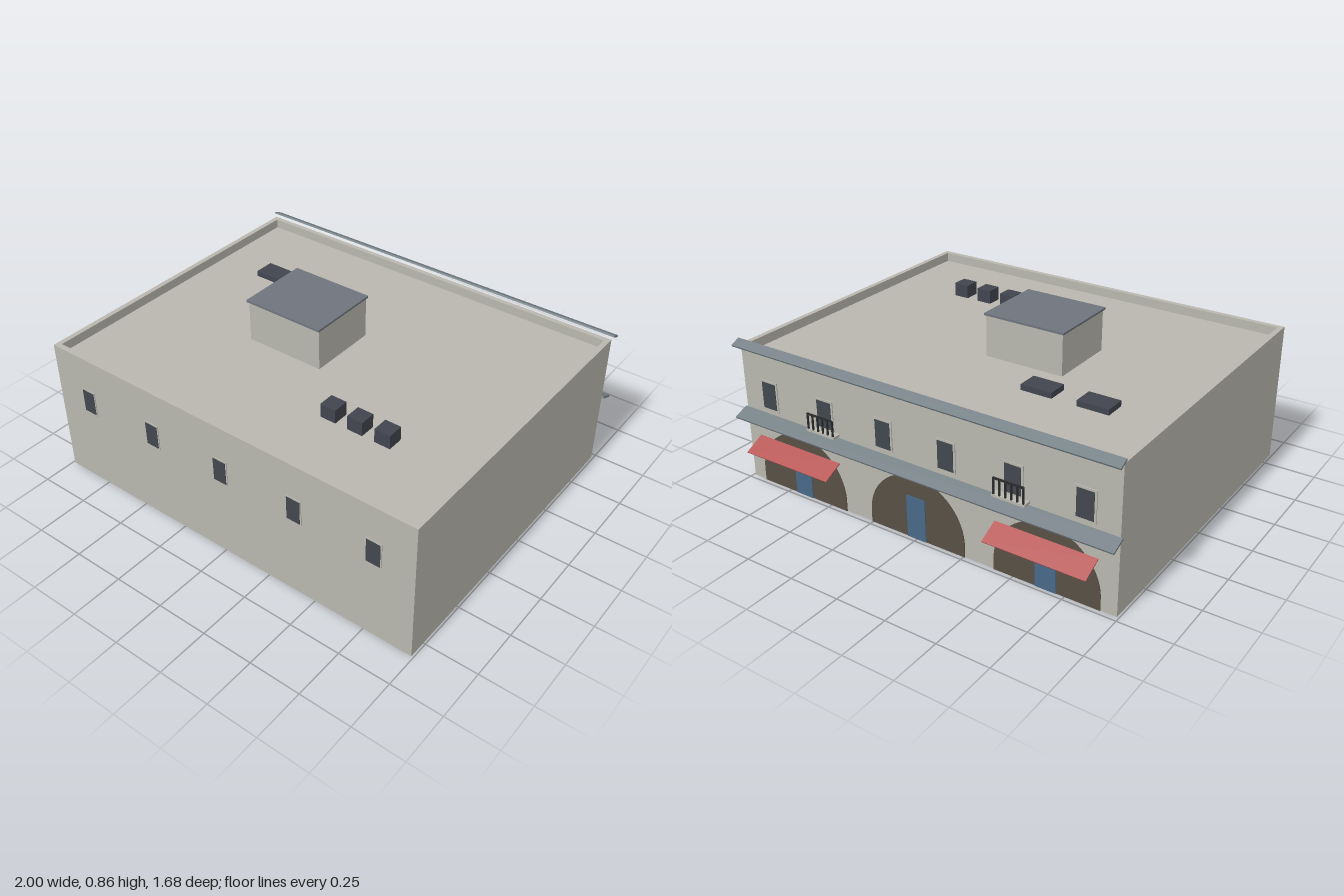
import * as THREE from 'three';

const mat = (name, color) => {
  const m = new THREE.MeshStandardMaterial({ color });
  m.name = name;
  return m;
};

export function createModel() {
  const model = new THREE.Group();
  model.name = 'building';
  const wall = mat('wall stone', 0xb8b6ae);
  const slate = mat('slate', 0x6f747d);
  const tile = mat('cornice tile', 0x747f85);
  const glass = mat('dark glass', 0x42474e);
  const metal = mat('roof unit metal', 0x41454e);
  const brown = mat('arch brown', 0x584f45);
  const blue = mat('door blue', 0x486888);
  const red = mat('awning red', 0xb55252);
  const iron = mat('railing iron', 0x2a2b2d);

  const BACK = -0.725, FRONT = 0.835, ROOF = 0.645, TOP = 0.69;

  // box given by its limits on each axis
  const box = (name, m, x0, x1, y0, y1, z0, z1, parent = model) => {
    const mesh = new THREE.Mesh(new THREE.BoxGeometry(x1 - x0, y1 - y0, z1 - z0), m);
    mesh.position.set((x0 + x1) / 2, (y0 + y1) / 2, (z0 + z1) / 2);
    mesh.name = name;
    parent.add(mesh);
    return mesh;
  };

  // sloping board running from (y0, z0) at the wall to (y1, z1) at its outer edge
  const board = (name, m, x0, x1, y0, z0, y1, z1, t) => {
    const len = Math.hypot(y0 - y1, z0 - z1);
    const mesh = new THREE.Mesh(new THREE.BoxGeometry(x1 - x0, t, len), m);
    mesh.position.set((x0 + x1) / 2, (y0 + y1) / 2, (z0 + z1) / 2);
    mesh.rotation.x = -Math.atan2(y0 - y1, z0 - z1);
    mesh.name = name;
    model.add(mesh);
  };

  // main block and parapet ring
  box('body', wall, -0.99, 0.99, 0, ROOF, BACK, FRONT);
  const rect = (s, x, z0, z1) =>
    s.moveTo(-x, -z1).lineTo(x, -z1).lineTo(x, -z0).lineTo(-x, -z0).closePath();
  const ring = new THREE.Shape();
  rect(ring, 0.99, BACK, FRONT);
  const hole = new THREE.Path();
  rect(hole, 0.965, -0.7, 0.808);
  ring.holes.push(hole);
  const parapet = new THREE.Mesh(
    new THREE.ExtrudeGeometry(ring, { depth: TOP - ROOF, bevelEnabled: false }), wall);
  parapet.rotation.x = -Math.PI / 2;
  parapet.position.y = ROOF;
  parapet.name = 'parapet';
  model.add(parapet);

  // roof house, air units and skylights
  box('roofHouse', wall, -0.36, 0.04, ROOF, 0.845, -0.135, 0.21);
  box('roofHouseLid', slate, -0.37, 0.045, 0.845, 0.855, -0.145, 0.217);
  for (const x of [0.295, 0.433, 0.572])
    box('airUnit', metal, x - 0.039, x + 0.039, ROOF, 0.712, 0.4, 0.477);
  for (const x of [-0.635, -0.36])
    box('skylight', metal, x - 0.077, x + 0.077, ROOF, 0.672, -0.345, -0.243);

  // front windows
  for (let i = -2; i <= 2; i++) {
    const x = i * 0.397;
    box('frontWindowFrame', wall, x - 0.04, x + 0.04, 0.393, 0.522, FRONT, FRONT + 0.003);
    box('frontWindow', glass, x - 0.034, x + 0.034, 0.4, 0.515, FRONT, FRONT + 0.005);
  }

  // back windows
  for (let i = 0; i < 6; i++) {
    const x = (i - 2.5) / 3;
    box('backWindowFrame', wall, x - 0.05, x + 0.05, 0.39, 0.54, BACK - 0.004, BACK);
    box('backWindow', glass, x - 0.04, x + 0.04, 0.4, 0.53, BACK - 0.006, BACK);
  }

  // balconies
  for (const x of [-0.5, 0.5]) {
    const b = new THREE.Group();
    b.name = 'balcony';
    b.position.x = x;
    model.add(b);
    box('balconySlab', wall, -0.08, 0.08, 0.378, 0.39, BACK - 0.04, BACK, b);
    box('balconyRail', iron, -0.075, 0.075, 0.46, 0.468, BACK - 0.038, BACK - 0.031, b);
    for (let i = 0; i < 6; i++) {
      const p = -0.0715 + i * 0.0286;
      box('balconyBar', iron, p - 0.0035, p + 0.0035, 0.39, 0.46, BACK - 0.038, BACK - 0.031, b);
    }
  }

  // sloping tiled cornices along the back
  board('upperCornice', tile, -1, 1, 0.712, BACK, 0.69, -0.77, 0.009);
  board('lowerCornice', tile, -1, 1, 0.367, BACK, 0.337, -0.795, 0.009);

  // arches with doors
  const arch = new THREE.Shape();
  arch.moveTo(-0.255, 0).lineTo(0.255, 0).lineTo(0.255, 0.055);
  arch.absarc(0, 0.055, 0.255, 0, Math.PI, false);
  arch.closePath();
  const archGeo = new THREE.ExtrudeGeometry(arch, { depth: 0.004, bevelEnabled: false, curveSegments: 24 });
  for (const x of [-0.66, 0, 0.66]) {
    const a = new THREE.Mesh(archGeo, brown);
    a.position.set(x, 0, BACK - 0.004);
    a.name = 'arch';
    model.add(a);
    box('door', blue, x - 0.05, x + 0.05, 0, 0.21, BACK - 0.007, BACK);
  }

  // awnings over the outer arches
  for (const x of [-0.662, 0.662])
    board('awning', red, x - 0.243, x + 0.243, 0.248, -0.739, 0.199, -0.834, 0.005);

  return model;
}
